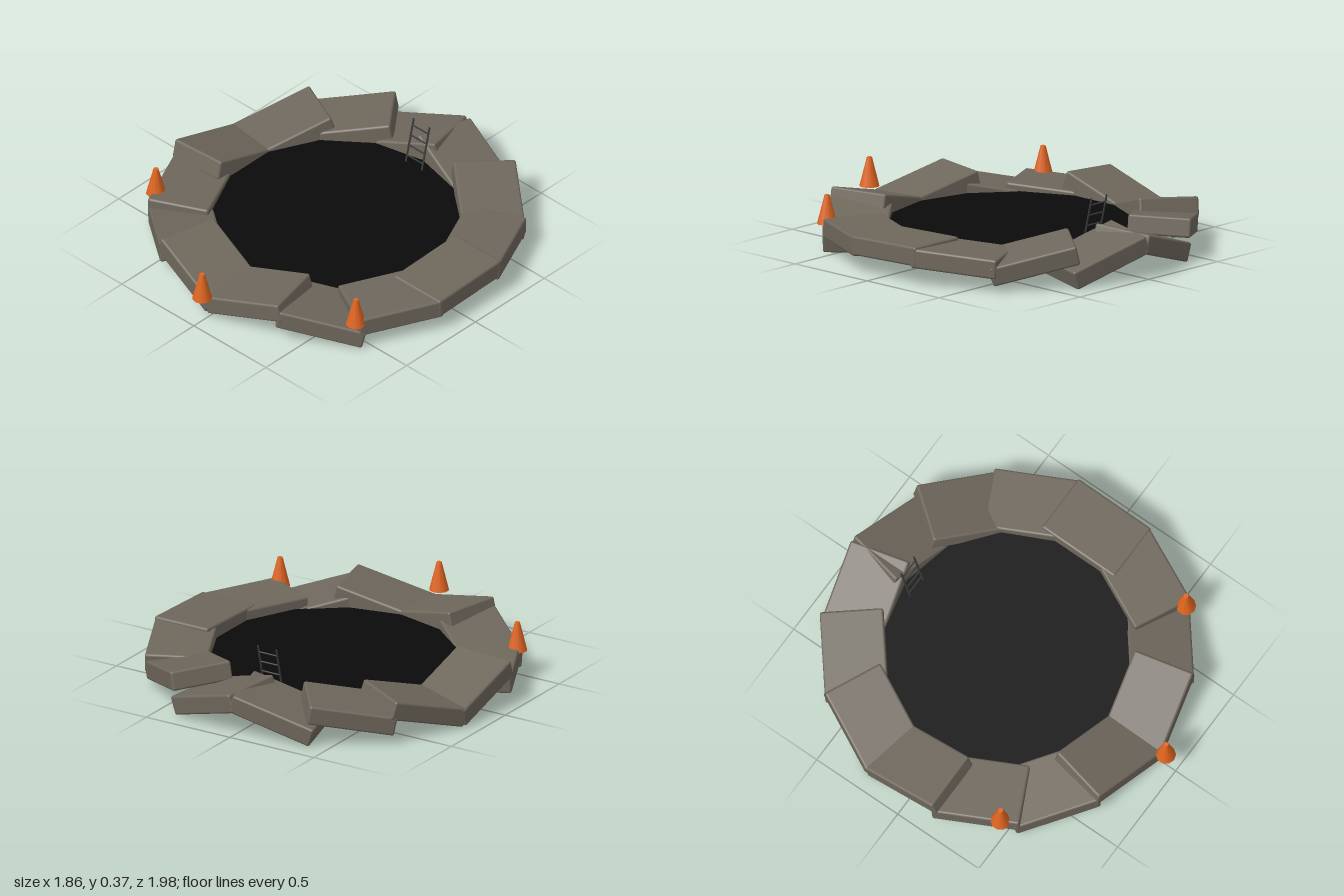
import * as THREE from 'three';
import { RoundedBoxGeometry } from 'three/addons/geometries/RoundedBoxGeometry.js';

const mat = (name, color, extra = {}) => {
  const m = new THREE.MeshStandardMaterial({ color, ...extra });
  m.name = name;
  return m;
};

export function createModel() {
  const concrete = mat('concrete', 0x6e675c);
  const pitBlack = mat('pit black', 0x0a0a0a, { side: THREE.DoubleSide });
  const coneOrange = mat('cone orange', 0xe0651f);
  const steel = mat('dark steel', 0x3a3d3d);

  const model = new THREE.Group();
  model.name = 'brokenPit';
  const add = (parent, name, geometry, material) => {
    const mesh = new THREE.Mesh(geometry, material);
    mesh.name = name;
    parent.add(mesh);
    return mesh;
  };

  // Ring of heaved slabs: [height at start, height at end, inward lift]
  // listed from the back, going round by the model's left side
  const slabs = [
    [0.21, 0.075, 0.07], [0.21, 0.11, 0.07], [0.14, 0.165, 0], [0.175, 0.16, 0],
    [0.155, 0.15, 0], [0.07, 0.17, 0], [0.21, 0.1, 0], [0.1, 0.21, 0],
    [0.165, 0.085, 0], [0.14, 0.115, 0], [0.21, 0.08, 0.06], [0.08, 0.21, 0.06],
    [0.12, 0.2, 0.05], [0.075, 0.21, 0.07],
  ];
  const centreZ = -0.04;
  const step = (Math.PI * 2) / slabs.length;
  const slabGeometry = new RoundedBoxGeometry(0.45, 0.1, 0.32, 2, 0.012);
  const ring = new THREE.Group();
  ring.name = 'slabRing';
  ring.position.z = centreZ;
  model.add(ring);
  slabs.forEach(([start, end, lift], i) => {
    const angle = (i + 0.5) * step;
    const holder = new THREE.Group();
    holder.name = 'slabHolder' + i;
    holder.position.set(0.768 * Math.sin(angle), (start + end) / 2, -0.768 * Math.cos(angle));
    holder.rotation.y = Math.PI - angle;
    ring.add(holder);
    const slab = add(holder, 'slab' + i, slabGeometry, concrete);
    slab.rotation.set(lift, 0, Math.atan((start - end) / 0.43));
  });

  // Dark floor with one side per slab
  const pit = add(model, 'pitFloor', new THREE.CircleGeometry(0.628, slabs.length), pitBlack);
  pit.rotation.set(-Math.PI / 2, 0, Math.PI / 2);
  pit.position.set(0, 0.15, centreZ);

  // Warning cones
  const coneGeometry = new THREE.CylinderGeometry(0.013, 0.051, 0.15, 10);
  [[-0.77, 0.47], [0, 0.94], [0.705, 0.56]].forEach(([x, z], i) => {
    add(model, 'trafficCone' + i, coneGeometry, coneOrange).position.set(x, 0.24, z);
  });

  // Ladder leaning on the back rim
  const ladder = new THREE.Group();
  ladder.name = 'ladder';
  ladder.position.set(0, 0.27, -0.627);
  ladder.rotation.x = -0.235;
  model.add(ladder);
  const railGeometry = new THREE.CylinderGeometry(0.005, 0.005, 0.245, 6);
  for (const side of [-1, 1]) {
    add(ladder, side > 0 ? 'leftRail' : 'rightRail', railGeometry, steel).position.x = side * 0.055;
  }
  const rungGeometry = new THREE.CylinderGeometry(0.004, 0.004, 0.11, 6);
  for (let i = 0; i < 4; i++) {
    const rung = add(ladder, 'rung' + i, rungGeometry, steel);
    rung.rotation.z = Math.PI / 2;
    rung.position.y = 0.085 - i * 0.057;
  }
  return model;
}
